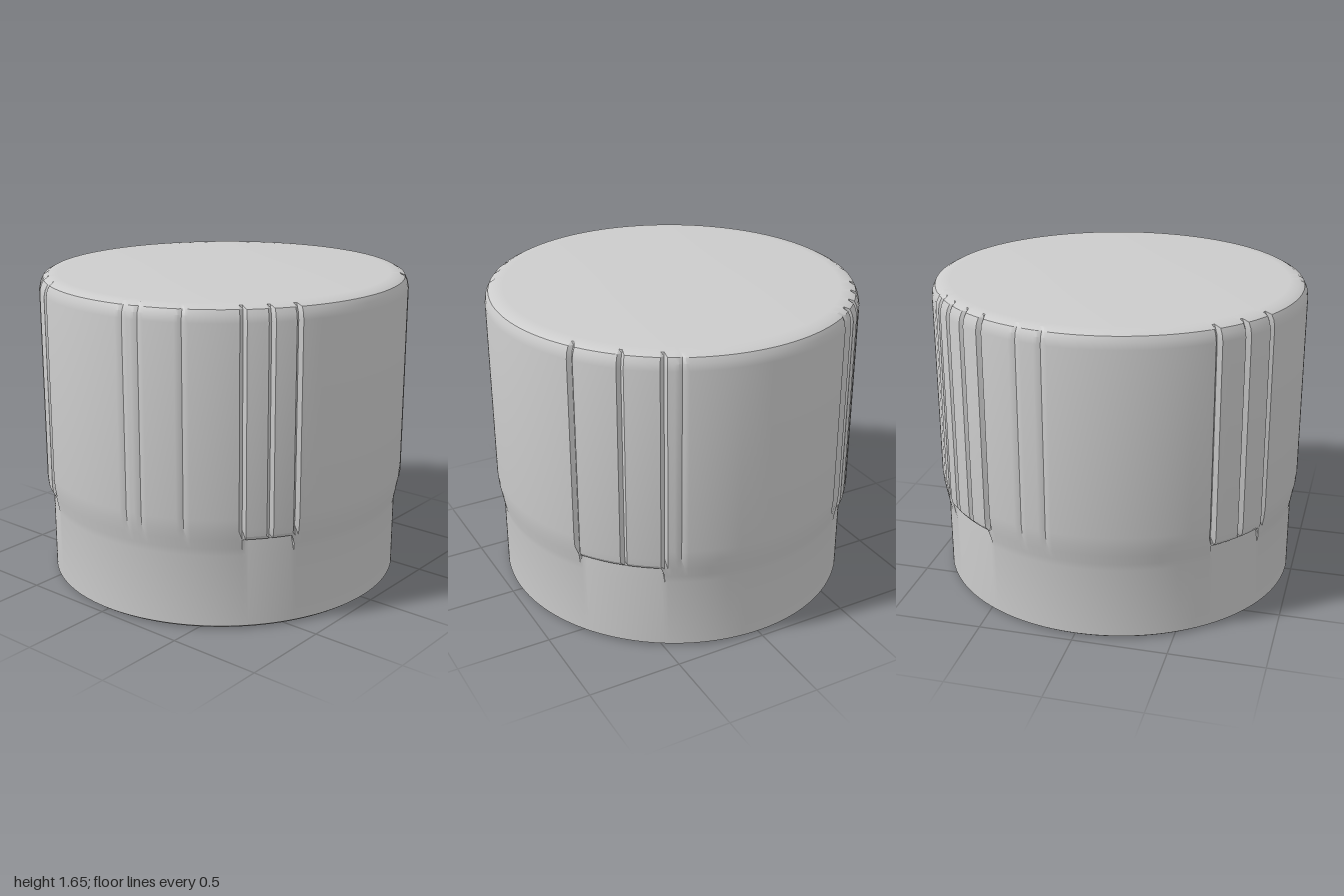
import * as THREE from 'three';
import { toCreasedNormals } from 'three/addons/utils/BufferGeometryUtils.js';

// Paired [radius, height] profiles: plain wall and raised grip rib
const plain = [
  [0, 0.005], [0.95, 0.005], [0.968, 0.018], [0.968, 0.4], [0.975, 0.44], [0.984, 0.49], [0.993, 0.54],
  [0.998, 0.6], [0.998, 1.58], [0.992, 1.615], [0.978, 1.642], [0.95, 1.657], [0.9, 1.66], [0, 1.66],
];
const rib = [
  [0, 0.005], [0.95, 0.005], [0.968, 0.018], [0.968, 0.4], [0.963, 0.505], [0.982, 0.49], [0.996, 0.51],
  [1.0, 0.55], [1.0, 1.58], [0.992, 1.615], [0.978, 1.642], [0.95, 1.657], [0.9, 1.66], [0, 1.66],
];

// Rib edges in degrees around the cap, measured from +z towards +x
const ribGroups = [[45, 53, 61], [122, 137, 149], [218, 225, 233, 241], [312, 322, 332]];
const seams = [10, 15, 28, 154, 213, 254, 262];

function createCap() {
  const steps = 360, rows = plain.length;
  const geometry = new THREE.LatheGeometry(plain.map(([r, y]) => new THREE.Vector2(r, y)), steps);
  const position = geometry.attributes.position;
  const ribEdges = ribGroups.flat();

  for (let i = 0; i <= steps; i++) {
    const degrees = i % steps;
    const angle = THREE.MathUtils.degToRad(degrees);
    const onRib = ribGroups.some(g => degrees > g[0] && degrees < g[g.length - 1]);
    const depth = ribEdges.includes(degrees) ? 0.02 : seams.includes(degrees) ? 0.008 : 0;
    for (let j = 0; j < rows; j++) {
      let [r, y] = (onRib ? rib : plain)[j];
      // Grooves run from the foot of the ribs to the rounded rim
      if (j >= 6 && j <= 10) r -= depth;
      position.setXYZ(i * rows + j, r * Math.sin(angle) * 0.982, y, r * Math.cos(angle));
    }
  }
  return toCreasedNormals(geometry, THREE.MathUtils.degToRad(28));
}

export function createModel() {
  const model = new THREE.Group();
  model.name = 'ribbedCap';
  const material = new THREE.MeshStandardMaterial({ color: 0xcccccc });
  const cap = new THREE.Mesh(createCap(), material);
  cap.name = 'capBody';
  model.add(cap);
  return model;
}
